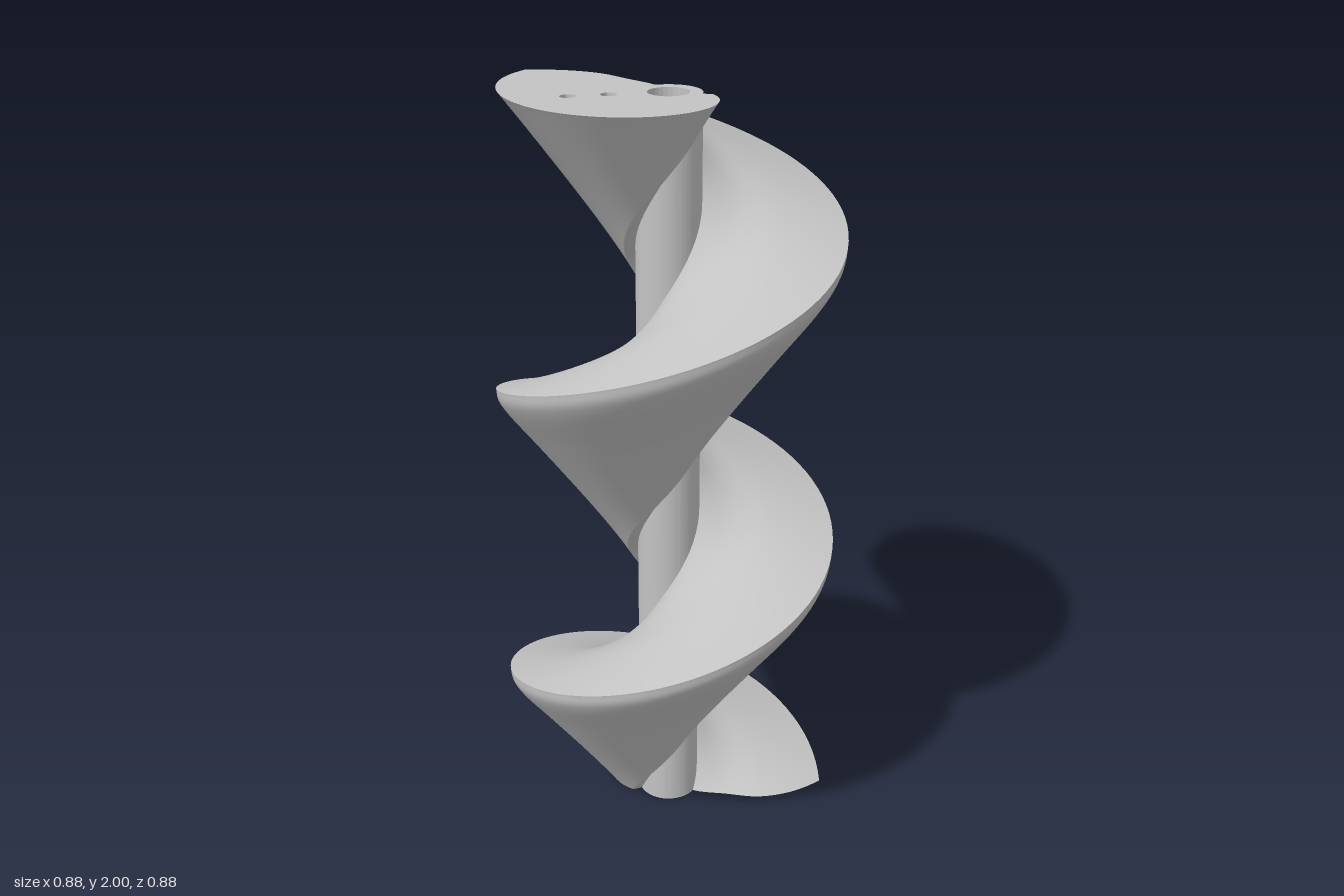
import * as THREE from 'three';
import { toCreasedNormals } from 'three/addons/utils/BufferGeometryUtils.js';

const HEIGHT = 2, PITCH = 0.833, TIP_START = 0.115;
const CORE = 0.082, BORE = 0.051;

// Blade section as (radius, height above the tip): underside from root to rim, then upper side back to root
const curve = (points, count) => new THREE.CatmullRomCurve3(
  points.map(([r, h]) => new THREE.Vector3(r, h, 0))).getSpacedPoints(count);
const underside = [
  new THREE.Vector3(CORE, -0.457, 0),
  ...curve([[0.108, -0.457], [0.197, -0.344], [0.34, -0.159], [0.422, -0.05], [0.437, -0.02], [0.44, 0.007]], 90),
];
const upperSide = curve([[0.44, 0.007], [0.34, 0.03], [0.26, 0.045], [0.16, 0.056], [CORE, 0.08]], 40);

// Angle at which a section point reaches height y
const angleAt = (p, y) => ((y - TIP_START - p.y) / PITCH) * Math.PI * 2;

// Every section point sweeps a helix that starts and ends exactly on the end planes
function helixGeometry(profile) {
  const rows = 200, positions = [], index = [];
  for (const p of profile) {
    for (let i = 0; i <= rows; i++) {
      const y = (HEIGHT * i) / rows, a = angleAt(p, y);
      positions.push(p.x * Math.cos(a), y, -p.x * Math.sin(a));
    }
  }
  for (let j = 0; j < profile.length - 1; j++) {
    for (let i = 0; i < rows; i++) {
      const a = j * (rows + 1) + i, c = a + rows + 1;
      index.push(a, a + 1, c, a + 1, c + 1, c);
    }
  }
  const g = new THREE.BufferGeometry();
  g.setAttribute('position', new THREE.Float32BufferAttribute(positions, 3));
  g.setIndex(index);
  g.computeVertexNormals();
  return g;
}

// Flat slice through the flight; side is 1 facing up, -1 facing down
function capGeometry(y, side, holes) {
  const at = (r, a) => new THREE.Vector2(r * Math.cos(a), side * r * Math.sin(a));
  const points = [...underside, ...upperSide.slice(1)].map(p => at(p.x, angleAt(p, y)));
  const from = angleAt(upperSide[upperSide.length - 1], y), to = angleAt(underside[0], y);
  // The inner arc runs slightly under the shaft wall so no gap shows
  for (let i = 0; i <= 60; i++) points.push(at(CORE - 0.003, from + ((to - from) * i) / 60));
  const shape = new THREE.Shape(points);
  for (const [x, z, r] of holes) {
    shape.holes.push(new THREE.Path().absarc(x, -z, r, 0, Math.PI * 2, true));
  }
  const g = new THREE.ShapeGeometry(shape, 12);
  g.rotateX((-side * Math.PI) / 2);
  g.translate(0, y, 0);
  return g;
}

const lathe = (pts, segments) => toCreasedNormals(
  new THREE.LatheGeometry(pts.map(p => new THREE.Vector2(...p)), segments), 0.6);

export function createModel() {
  const model = new THREE.Group();
  model.name = 'screwAuger';
  const grey = new THREE.MeshStandardMaterial({ color: 0xc3c3c3 });
  grey.name = 'lightGrey';
  const add = (name, geometry) => {
    const mesh = new THREE.Mesh(geometry, grey);
    mesh.name = name;
    model.add(mesh);
    return mesh;
  };

  // Hollow shaft
  add('shaft', lathe([[BORE, 0], [CORE, 0], [CORE, HEIGHT], [BORE, HEIGHT], [BORE, 0]], 96));

  // Spiral blade with a sharp rim, and its flat ends
  const holes = [[-0.18, -0.158, 0.02], [-0.108, -0.095, 0.02]];
  add('flightUnderside', helixGeometry(underside));
  add('flightUpperSide', helixGeometry(upperSide));
  add('topCap', capGeometry(HEIGHT, 1, holes));
  add('bottomCap', capGeometry(0, -1, []));

  // Blind pin holes in the top
  for (const [x, z, r] of holes) {
    add('pinHole', lathe([[r, 0], [r, -0.08], [0, -0.08]], 24)).position.set(x, HEIGHT, z);
  }
  return model;
}
